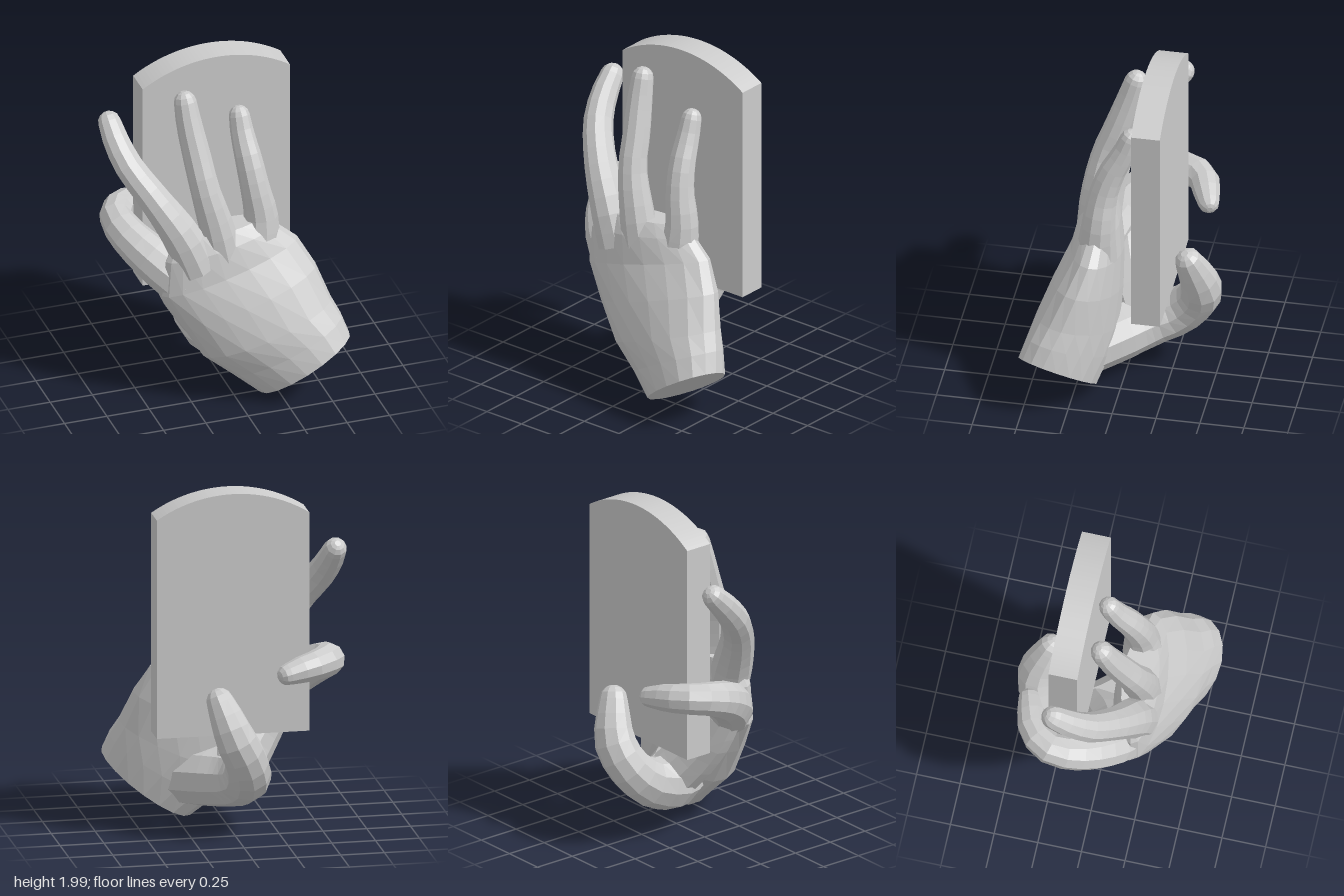
import * as THREE from 'three';

const material = new THREE.MeshStandardMaterial({ color: 0xcccccc, flatShading: true });
const V = (p) => new THREE.Vector3(...p);

// Closed surface through rings of equal point count, capped at both ends
function loft(name, rings) {
  const n = rings[0].length, pos = [], idx = [];
  rings.forEach((ring) => ring.forEach((p) => pos.push(p.x, p.y, p.z)));
  for (let i = 0; i < rings.length - 1; i++) {
    for (let j = 0; j < n; j++) {
      const a = i * n + j, b = i * n + (j + 1) % n;
      idx.push(a, b, b + n, a, b + n, a + n);
    }
  }
  for (const i of [0, rings.length - 1]) {
    const c = new THREE.Vector3();
    rings[i].forEach((p) => c.addScaledVector(p, 1 / n));
    const ci = pos.push(c.x, c.y, c.z) / 3 - 1;
    for (let j = 0; j < n; j++) {
      const a = i * n + j, b = i * n + (j + 1) % n;
      if (i === 0) idx.push(ci, b, a); else idx.push(ci, a, b);
    }
  }
  // Turn the faces outward if the enclosed volume comes out negative
  const at = (k) => new THREE.Vector3().fromArray(pos, idx[k] * 3);
  let volume = 0;
  for (let k = 0; k < idx.length; k += 3) volume += at(k).dot(at(k + 1).cross(at(k + 2)));
  if (volume < 0) idx.reverse();
  const geo = new THREE.BufferGeometry();
  geo.setAttribute('position', new THREE.Float32BufferAttribute(pos, 3));
  geo.setIndex(idx);
  geo.computeVertexNormals();
  const mesh = new THREE.Mesh(geo, material);
  mesh.name = name;
  return mesh;
}

// Ring around centre c with half axes a and b
function ring(c, a, b, sides) {
  return Array.from({ length: sides }, (_, j) => {
    const t = (j / sides) * Math.PI * 2;
    return c.clone().addScaledVector(a, Math.cos(t)).addScaledVector(b, Math.sin(t));
  });
}

// Tapering finger along a path of [x, y, z, radius] with a rounded tip
function finger(name, path, steps = 11) {
  const curve = new THREE.CatmullRomCurve3(path.map((p) => V(p.slice(0, 3))));
  const frames = curve.computeFrenetFrames(steps);
  const rings = [];
  const add = (c, i, r) => rings.push(ring(c, frames.normals[i].clone().multiplyScalar(r),
    frames.binormals[i].clone().multiplyScalar(r), 10));
  let r;
  for (let i = 0; i <= steps; i++) {
    const t = curve.getUtoTmapping(i / steps) * (path.length - 1);
    const k = Math.min(Math.floor(t), path.length - 2);
    r = THREE.MathUtils.lerp(path[k][3], path[k + 1][3], t - k);
    add(curve.getPointAt(i / steps), i, r);
  }
  const end = curve.getPointAt(1);
  for (const angle of [0.5, 0.95, 1.3]) {
    add(end.clone().addScaledVector(frames.tangents[steps], r * Math.sin(angle)), steps, r * Math.cos(angle));
  }
  return loft(name, rings);
}

// Slab with an arched top
function slab() {
  const half = 0.435, rise = 0.13, cx = 0.015;
  const R = (half * half + rise * rise) / (2 * rise), angle = Math.asin(half / R);
  const shape = new THREE.Shape();
  shape.moveTo(cx - half, 0.6);
  shape.lineTo(cx + half, 0.6);
  shape.absarc(cx, 2 - R, R, Math.PI / 2 - angle, Math.PI / 2 + angle, false);
  shape.closePath();
  const geo = new THREE.ExtrudeGeometry(shape, { depth: 0.165, bevelEnabled: false, curveSegments: 20 });
  geo.translate(0, 0, -0.262);
  const mesh = new THREE.Mesh(geo, material);
  mesh.name = 'slab';
  return mesh;
}

export function createModel() {
  const group = new THREE.Group();
  group.name = 'handHoldingSlab';
  group.add(slab());

  // Wrist to knuckles: centre, half width, half thickness
  const sections = [
    [[0.393, 0.19, 0.33], [0.247, 0.172, 0.04], [-0.01, 0.06, 0.21]],
    [[0.3, 0.305, 0.285], [0.305, 0.165, 0.04], [0, 0.05, 0.22]],
    [[0.195, 0.42, 0.25], [0.365, 0.145, 0.03], [0, 0.04, 0.22]],
    [[0.1, 0.62, 0.21], [0.395, 0.13, 0], [0, 0.03, 0.19]],
    [[0, 0.8, 0.175], [0.405, 0.11, -0.02], [0, 0.02, 0.145]],
    [[-0.05, 0.96, 0.17], [0.335, 0.05, -0.03], [0, 0.01, 0.115]],
    [[-0.06, 1.055, 0.16], [0.25, 0.01, -0.025], [0, 0, 0.08]],
  ];
  group.add(loft('palm', sections.map(([c, a, b]) => ring(V(c), V(a), V(b), 18))));

  group.add(finger('outerFinger', [
    [-0.2, 0.84, 0.2, 0.12], [-0.28, 1.04, 0.18, 0.115], [-0.42, 1.27, 0.1, 0.092],
    [-0.53, 1.44, -0.02, 0.084], [-0.57, 1.56, -0.13, 0.076], [-0.58, 1.63, -0.2, 0.067],
  ]));
  group.add(finger('middleFinger', [
    [-0.04, 0.86, 0.19, 0.115], [-0.08, 1.07, 0.19, 0.1], [-0.14, 1.32, 0.155, 0.082],
    [-0.165, 1.5, 0.09, 0.08], [-0.19, 1.68, 0.03, 0.073], [-0.2, 1.8, -0.005, 0.064],
  ]));
  group.add(finger('innerFinger', [
    [0.18, 0.84, 0.15, 0.12], [0.2, 1.06, 0.135, 0.097], [0.17, 1.25, 0.115, 0.082],
    [0.15, 1.4, 0.07, 0.077], [0.135, 1.54, 0, 0.067], [0.13, 1.635, -0.035, 0.059],
  ]));
  // Finger wrapping round the edge of the slab
  group.add(finger('bentFinger', [
    [-0.25, 0.72, 0.16, 0.14], [-0.39, 0.84, 0.07, 0.13], [-0.51, 0.95, -0.09, 0.108],
    [-0.535, 1, -0.23, 0.094], [-0.46, 1.005, -0.335, 0.087], [-0.35, 0.99, -0.38, 0.077],
    [-0.27, 0.975, -0.405, 0.062],
  ]));
  // Thumb running from the wrist under the slab and rising behind it
  group.add(finger('thumb', [
    [0.22, 0.25, 0.22, 0.17], [0.08, 0.275, 0.06, 0.175], [-0.04, 0.305, -0.1, 0.165],
    [-0.065, 0.36, -0.27, 0.135], [-0.03, 0.49, -0.39, 0.122], [0.03, 0.61, -0.42, 0.118],
    [0.075, 0.73, -0.395, 0.1], [0.11, 0.825, -0.365, 0.08],
  ], 14));
  // Web of flesh between the thumb and the bent finger
  group.add(finger('thumbWeb', [
    [-0.04, 0.34, -0.06, 0.15], [-0.13, 0.46, 0.01, 0.145], [-0.23, 0.6, 0.06, 0.13],
    [-0.31, 0.74, 0.09, 0.11],
  ], 6));
  return group;
}
